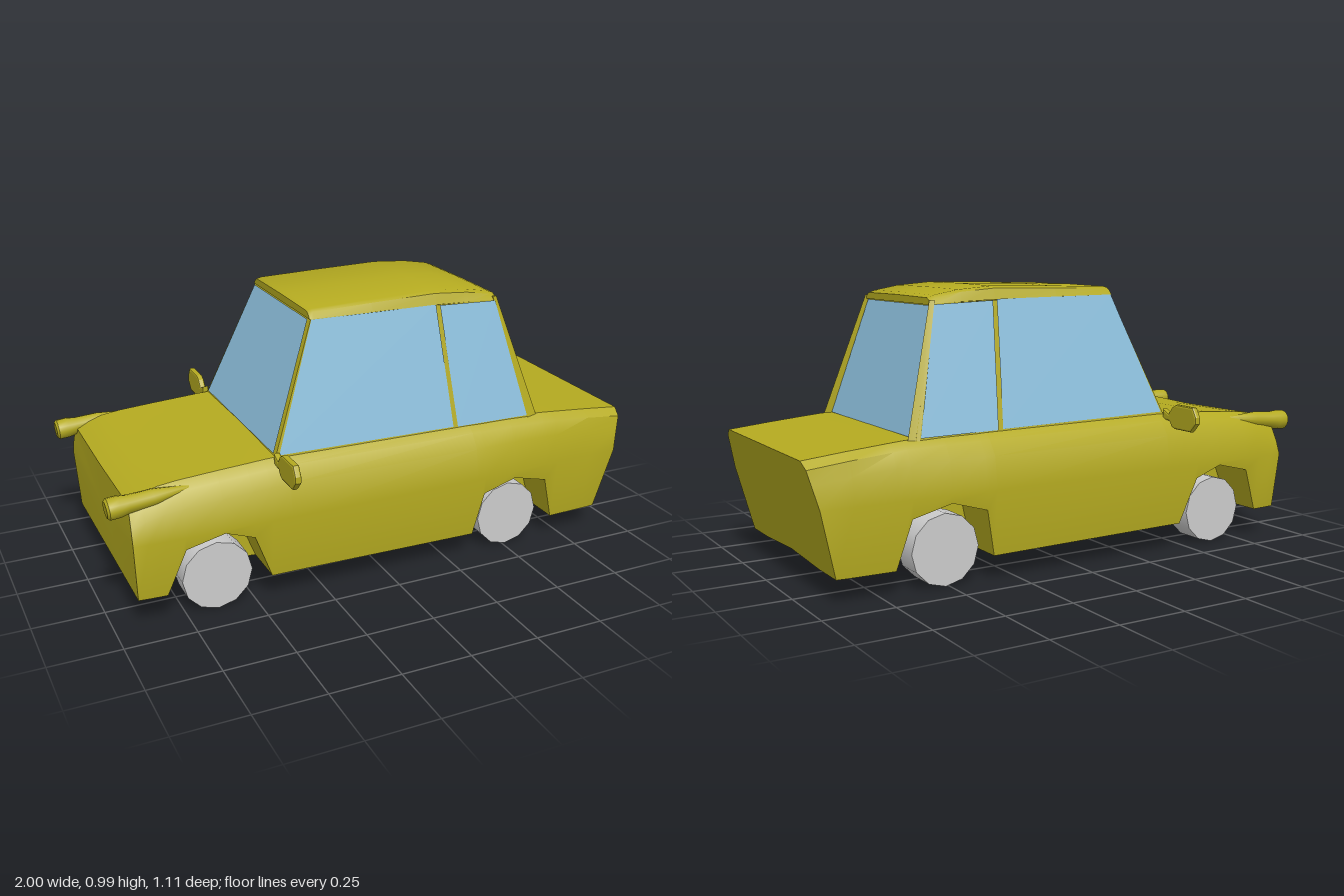
import * as THREE from 'three';
import { toCreasedNormals } from 'three/addons/utils/BufferGeometryUtils.js';

const paint = new THREE.MeshStandardMaterial({ color: 0xb4aa20 });
const glass = new THREE.MeshStandardMaterial({ color: 0x8dc0dd, side: THREE.DoubleSide });
const grey = new THREE.MeshStandardMaterial({ color: 0xcccccc });

// Skin a row of equal-length closed rings of [x, y, z] and cap both ends
function loft(rings, crease = 0.6) {
  const n = rings[0].length, pos = rings.flat(2), index = [];
  for (let i = 0; i < rings.length - 1; i++) {
    for (let j = 0; j < n; j++) {
      const k = (j + 1) % n, a = i * n + j, b = i * n + k;
      index.push(a, b, a + n, b, b + n, a + n);
    }
  }
  [0, rings.length - 1].forEach((r, end) => {
    const c = pos.length / 3;
    for (let axis = 0; axis < 3; axis++) pos.push(rings[r].reduce((s, p) => s + p[axis], 0) / n);
    for (let j = 0; j < n; j++) {
      const a = r * n + j, b = r * n + (j + 1) % n;
      index.push(c, end ? a : b, end ? b : a);
    }
  });
  const g = new THREE.BufferGeometry();
  g.setAttribute('position', new THREE.Float32BufferAttribute(pos, 3));
  g.setIndex(index);
  return toCreasedNormals(g, crease);
}

// Complete a half section (top centre to bottom centre, z >= 0) with its mirror
const mirrorRing = (half) =>
  [...half, ...half.slice(1, -1).reverse().map(([x, y, z]) => [x, y, -z])];

function add(parent, name, geometry, material) {
  const m = new THREE.Mesh(geometry, material);
  m.name = name;
  parent.add(m);
  return m;
}

function pane(parent, name, corners) {
  const g = new THREE.BufferGeometry();
  g.setAttribute('position', new THREE.Float32BufferAttribute(corners.flat(), 3));
  g.setIndex([0, 1, 2, 0, 2, 3]);
  g.computeVertexNormals();
  return add(parent, name, g, glass);
}

// Lower body: stations along x, with wheel wells cut up into the sill
function bodyGeometry() {
  // x, deck height, shoulder height, half width, sill height, floor height
  const stations = [
    [-0.925, 0.44, 0.445, 0.43, 0.11, 0.11],
    [-0.88, 0.462, 0.466, 0.434, 0.11, 0.11],
    [-0.82, 0.476, 0.483, 0.437, 0.11, 0.11],
    [-0.755, 0.484, 0.491, 0.44, 0.275, 0.11],
    [-0.62, 0.498, 0.5, 0.44, 0.308, 0.11],
    [-0.515, 0.508, 0.506, 0.44, 0.268, 0.105],
    [-0.45, 0.514, 0.51, 0.44, 0.1, 0.1],
    [-0.38, 0.518, 0.513, 0.44, 0.1, 0.1],
    [0.345, 0.51, 0.508, 0.44, 0.09, 0.095],
    [0.38, 0.51, 0.507, 0.44, 0.255, 0.095],
    [0.51, 0.508, 0.506, 0.434, 0.293, 0.095],
    [0.65, 0.504, 0.502, 0.428, 0.255, 0.095],
    [0.7, 0.5, 0.498, 0.425, 0.085, 0.095],
    [0.85, 0.486, 0.485, 0.42, 0.085, 0.098],
    [1, 0.47, 0.47, 0.416, 0.085, 0.1],
  ];
  return loft(stations.map(([x, deck, shoulder, w, sill, floor], i) => {
    // Rounded nose and raked tail
    const at = (y) => i === 0 ? -0.93 + 0.3 * (y - 0.3) ** 2
      : i === stations.length - 1 ? 0.905 + (y - 0.085) * 0.247 : x;
    const lower = Math.min(floor, sill);
    const sillZ = w - 0.025 * Math.max(0, (0.32 - sill) / 0.23);
    const half = [
      [deck, 0], [shoulder, 0.355], [shoulder - 0.025, 0.388], [shoulder - 0.075, w - 0.017],
      [0.32, w], [sill, sillZ], [sill, 0.25], [lower, 0.25], [floor, 0],
    ];
    return mirrorRing(half.map(([y, z]) => [at(y), y, z]));
  }), 0.55);
}

function wheelGeometry() {
  return new THREE.CylinderGeometry(0.125, 0.125, 0.107, 12).rotateX(Math.PI / 2);
}

// Headlight pod that tapers back into the wing
function headlightGeometry() {
  const profile = [[0, 0], [0.029, 0], [0.037, 0.008], [0.037, 0.045], [0.031, 0.075],
    [0.029, 0.16], [0.01, 0.28], [0, 0.3]].map(([r, y]) => new THREE.Vector2(r, y));
  return toCreasedNormals(new THREE.LatheGeometry(profile, 12), 0.7).rotateZ(-Math.PI / 2 + 0.09);
}

// Door mirror with its arm, drawn in the plane across the car
function doorMirrorGeometry() {
  const outline = [[0.365, 0.49], [0.405, 0.488], [0.418, 0.468], [0.435, 0.462], [0.525, 0.462],
    [0.555, 0.495], [0.555, 0.518], [0.535, 0.552], [0.44, 0.552], [0.418, 0.54], [0.4, 0.515], [0.365, 0.53]];
  const shape = new THREE.Shape(outline.map(([z, y]) => new THREE.Vector2(z, y)));
  const g = new THREE.ExtrudeGeometry(shape, {
    depth: 0.01, bevelEnabled: true, bevelThickness: 0.007, bevelSize: 0.007, bevelOffset: -0.007, bevelSegments: 2,
  });
  return g.rotateY(-Math.PI / 2);
}

function addCabin(car) {
  const ring = (y0, x0, y1, x1, z) =>
    [[x0, y0, z], [x1, y1, z], [x1, y1, -z], [x0, y0, -z]];
  add(car, 'cabinFrame', loft([
    ring(0.48, -0.42, 0.48, 0.612, 0.3665),
    ring(0.95, -0.232, 0.935, 0.487, 0.262),
  ]), paint);

  // Gently crowned roof
  const roof = [[-0.237, 0.948, 0.974], [-0.22, 0.948, 0.979], [0, 0.946, 0.985],
    [0.25, 0.942, 0.99], [0.38, 0.938, 0.98], [0.475, 0.934, 0.963], [0.497, 0.93, 0.955]];
  add(car, 'roof', loft(roof.map(([x, low, top]) => mirrorRing([
    [x, top, 0], [x, top - 0.002, 0.235], [x, top - 0.01, 0.25], [x, low, 0.264], [x, low, 0],
  ]))), paint);

  pane(car, 'windscreen', [[-0.409, 0.52, -0.343], [-0.409, 0.52, 0.343], [-0.24, 0.946, 0.25], [-0.24, 0.946, -0.25]]);
  pane(car, 'rearWindow', [[0.609, 0.505, 0.342], [0.609, 0.505, -0.342], [0.494, 0.928, -0.248], [0.494, 0.928, 0.248]]);

  // Side glass lies just proud of the sloping cabin sides
  const sideGlass = {
    frontSideWindow: [[-0.395, 0.518], [0.279, 0.51], [0.246, 0.944], [-0.232, 0.948]],
    rearSideWindow: [[0.297, 0.508], [0.59, 0.505], [0.488, 0.932], [0.262, 0.94]],
  };
  for (const s of [1, -1]) {
    for (const [name, pts] of Object.entries(sideGlass)) {
      const corners = pts.map(([x, y]) => [x, y, s * (0.366 - 0.2223 * (y - 0.5))]);
      pane(car, name, s > 0 ? corners : corners.reverse());
    }
    // Rear pillars stand out behind the window
    const foot = [[0.595, 0.49, 0.366], [0.637, 0.49, 0.36], [0.6, 0.49, 0.344]];
    const head = [[0.482, 0.945, 0.264], [0.5, 0.945, 0.258], [0.484, 0.945, 0.248]];
    const side = (pts) => s > 0 ? pts : pts.map(([x, y, z]) => [x, y, -z]).reverse();
    add(car, 'rearPillar', loft([side(foot), side(head)]), paint);
  }
}

export function createModel() {
  const car = new THREE.Group();
  car.name = 'car';
  add(car, 'body', bodyGeometry(), paint);
  addCabin(car);

  for (const s of [1, -1]) {
    for (const [name, x] of [['frontWheel', -0.635], ['rearWheel', 0.512]]) {
      add(car, name, wheelGeometry(), grey).position.set(x, 0.126, s * 0.328);
    }
    add(car, 'headlight', headlightGeometry(), paint).position.set(-0.998, 0.442, s * 0.374);
    const mirror = add(car, 'doorMirror', doorMirrorGeometry(), paint);
    mirror.position.x = -0.4;
    if (s < 0) {
      mirror.rotation.y = Math.PI;
      mirror.position.x = -0.417;
    }
  }
  return car;
}
